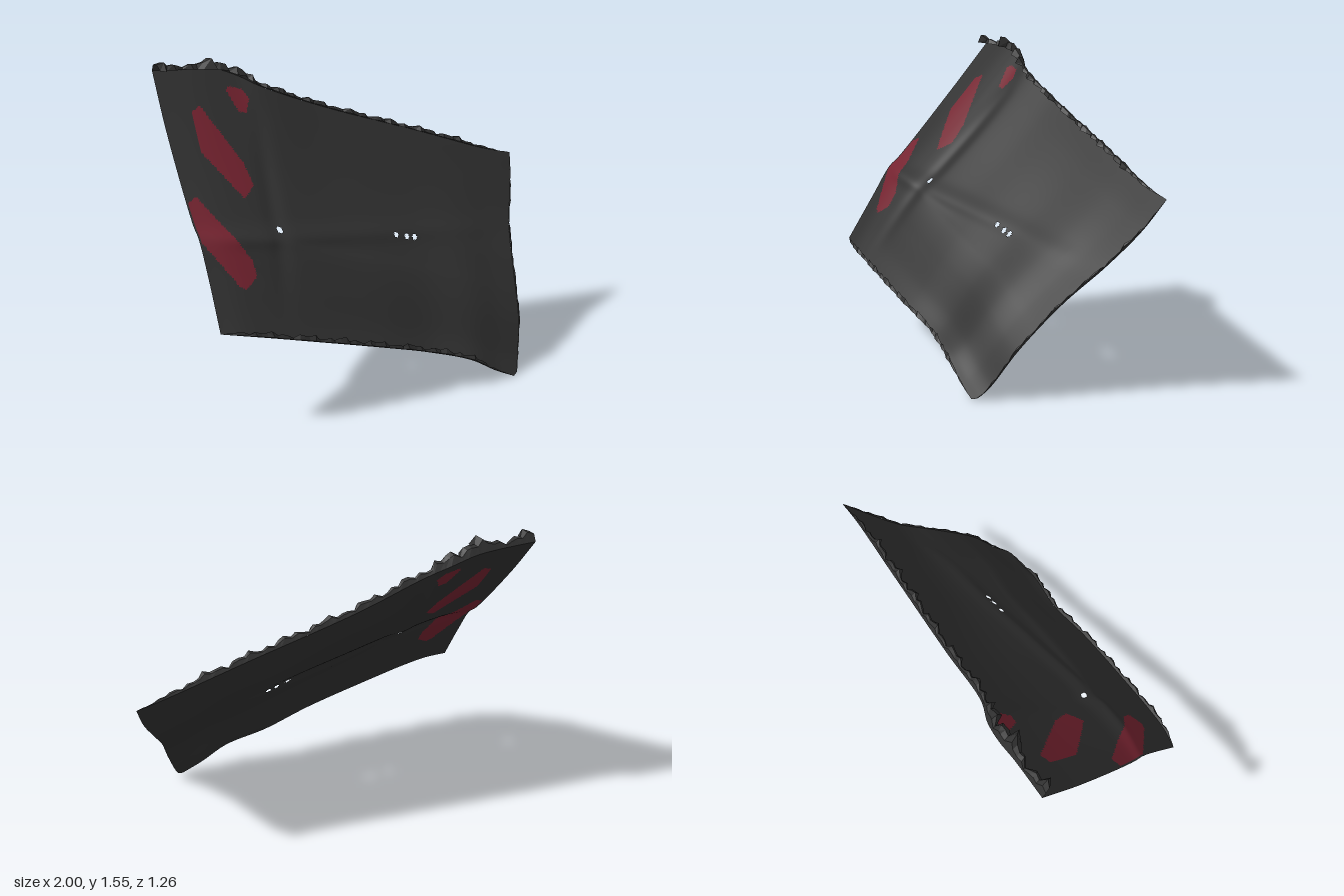
import * as THREE from 'three';

const curve = (pts) => new THREE.CatmullRomCurve3(pts.map((p) => new THREE.Vector3(...p)), false, 'centripetal');

// Four edges of the draped cloth
const topEdge = curve([[-0.8, 1.5, -0.63], [-0.6, 1.49, -0.58], [-0.5, 1.48, -0.56], [-0.4, 1.44, -0.52],
  [-0.3, 1.38, -0.45], [0, 1.25, -0.35], [0.5, 1.07, -0.18], [0.88, 0.93, -0.05], [1, 0.9, -0.02]]);
const bottomEdge = curve([[-1, 0.48, 0.2], [-0.9, 0.46, 0.25], [-0.78, 0.43, 0.29], [-0.6, 0.38, 0.34],
  [-0.25, 0.28, 0.43], [0, 0.2, 0.48], [0.2, 0.13, 0.56], [0.33, 0.05, 0.6], [0.43, 0, 0.63]]);
const leftEdge = curve([[-0.8, 1.5, -0.63], [-0.86, 1.25, -0.42], [-0.935, 0.9, -0.1], [-0.945, 0.85, -0.04],
  [-0.965, 0.7, 0.06], [-1, 0.48, 0.2]]);
const rightEdge = curve([[1, 0.9, -0.02], [0.93, 0.76, 0.06], [0.82, 0.6, 0.17], [0.7, 0.43, 0.33],
  [0.59, 0.23, 0.49], [0.5, 0.06, 0.58], [0.46, 0.01, 0.62], [0.43, 0, 0.63]]);

// Painted patches and worn holes, placed in x and y
const patches = [
  [[-0.745, 1.16], [-0.7, 1.32], [-0.65, 1.34], [-0.56, 1.09], [-0.56, 1.0], [-0.64, 0.96]],
  [[-0.94, 0.84], [-0.91, 0.98], [-0.86, 1.0], [-0.74, 0.73], [-0.75, 0.67], [-0.82, 0.63], [-0.845, 0.65]],
  [[-0.485, 1.38], [-0.47, 1.4], [-0.4, 1.38], [-0.385, 1.335], [-0.43, 1.28], [-0.465, 1.29]],
];
const holes = [[-0.54, 0.82], [0.08, 0.685], [0.14, 0.668], [0.182, 0.655]];

function inside(poly, x, y) {
  let hit = false;
  poly.forEach(([x1, y1], i) => {
    const [x2, y2] = poly[(i + 1) % poly.length];
    if ((y1 > y) !== (y2 > y) && x < x1 + ((y - y1) * (x2 - x1)) / (y2 - y1)) hit = !hit;
  });
  return hit;
}
const bell = (d, w) => Math.exp(-(d * d) / (w * w));

function buildCloth(materials) {
  const NU = 200, NV = 130;
  const T = topEdge.getSpacedPoints(NU), B = bottomEdge.getSpacedPoints(NU);
  const L = leftEdge.getSpacedPoints(NV), R = rightEdge.getSpacedPoints(NV);
  const pos = [];
  const mix = (k, i, j, u, v) => (1 - v) * T[i][k] + v * B[i][k] + (1 - u) * L[j][k] + u * R[j][k]
    - ((1 - u) * (1 - v) * T[0][k] + u * (1 - v) * T[NU][k] + (1 - u) * v * B[0][k] + u * v * B[NU][k]);
  for (let j = 0; j <= NV; j++) {
    for (let i = 0; i <= NU; i++) {
      const u = i / NU, v = j / NV;
      const [x, y, z] = ['x', 'y', 'z'].map((k) => mix(k, i, j, u, v));
      // Long crease across the middle and a soft diagonal fold near the patches
      const inner = Math.min(1, 10 * u, 8 * (1 - u), 8 * v, 8 * (1 - v));
      const crease = 0.018 * bell(y - (0.71 - 0.16 * x), 0.04) * bell(x + 0.4, 0.8);
      const fold = -0.015 * bell(x + 0.5 - 0.4 * (y - 0.95), 0.05) * bell(y - 0.95, 0.3);
      pos.push(x, y, z + inner * (crease + fold));
    }
  }
  const cloth = [], red = [];
  const addFace = (...f) => {
    const x = f.reduce((s, n) => s + pos[3 * n], 0) / 3;
    const y = f.reduce((s, n) => s + pos[3 * n + 1], 0) / 3;
    if (holes.some(([hx, hy]) => Math.hypot(x - hx, y - hy) < 0.013)) return;
    (patches.some((p) => inside(p, x, y)) ? red : cloth).push(...f);
  };
  for (let j = 0; j < NV; j++) {
    for (let i = 0; i < NU; i++) {
      const a = j * (NU + 1) + i, c = a + NU + 1;
      addFace(a, c, a + 1);
      addFace(a + 1, c, c + 1);
    }
  }
  const geo = new THREE.BufferGeometry();
  geo.setAttribute('position', new THREE.Float32BufferAttribute(pos, 3));
  geo.setIndex([...cloth, ...red]);
  geo.addGroup(0, cloth.length, 0);
  geo.addGroup(cloth.length, red.length, 1);
  geo.computeVertexNormals();
  return new THREE.Mesh(geo, materials);
}

// Ruffled hem: each profile point is [out of the cloth, up along the cloth]
function buildHem(path, count, profile, scale, material) {
  const pos = [], index = [], W = profile.length;
  path.getSpacedPoints(count).forEach((p, i) => {
    const s = scale(p.x, i / count) * (0.75 + 0.25 * Math.sin(i * 2.3) + 0.2 * Math.sin(i * 0.9));
    profile.forEach(([out, up]) => pos.push(p.x + 0.25 * up * s * (i % 3 - 1),
      p.y + s * (0.63 * out + 0.77 * up), p.z + s * (0.77 * out - 0.63 * up)));
    if (i === count) return;
    for (let k = 0; k < W - 1; k++) {
      const a = i * W + k;
      index.push(a, a + W, a + 1, a + 1, a + W, a + W + 1);
    }
  });
  let geo = new THREE.BufferGeometry();
  geo.setAttribute('position', new THREE.Float32BufferAttribute(pos, 3));
  geo.setIndex(index);
  geo = geo.toNonIndexed();
  geo.computeVertexNormals();
  return new THREE.Mesh(geo, material);
}

export function createModel() {
  const fabric = new THREE.MeshStandardMaterial({ color: 0x303030, side: THREE.DoubleSide });
  fabric.name = 'charcoalFabric';
  const paint = new THREE.MeshStandardMaterial({ color: 0x74222f, side: THREE.DoubleSide });
  paint.name = 'darkRed';

  const model = new THREE.Group();
  model.name = 'tatteredBanner';
  const add = (name, mesh) => { mesh.name = name; model.add(mesh); };
  add('cloth', buildCloth([fabric, paint]));

  // Top hem is fuller around the bunched corner and fades at the far end
  add('topHem', buildHem(topEdge, 70, [[0, 0], [0.03, 0.012], [0.05, 0], [0.045, -0.03]],
    (x, t) => (0.85 + 0.9 * bell(x + 0.5, 0.13) + 0.7 * bell(x + 0.8, 0.06)) * Math.min(1, 6 * (1 - t)), fabric));
  add('bottomHem', buildHem(bottomEdge, 60, [[0, 0], [0.025, -0.006], [0.03, 0.02]],
    (x, t) => Math.min(1, 12 * t, 5 * (1 - t)), fabric));
  add('sideHem', buildHem(rightEdge, 40, [[0, 0], [0.014, 0], [0.014, 0.015]],
    (x, t) => Math.min(1, 6 * t, 6 * (1 - t)), fabric));
  return model;
}
